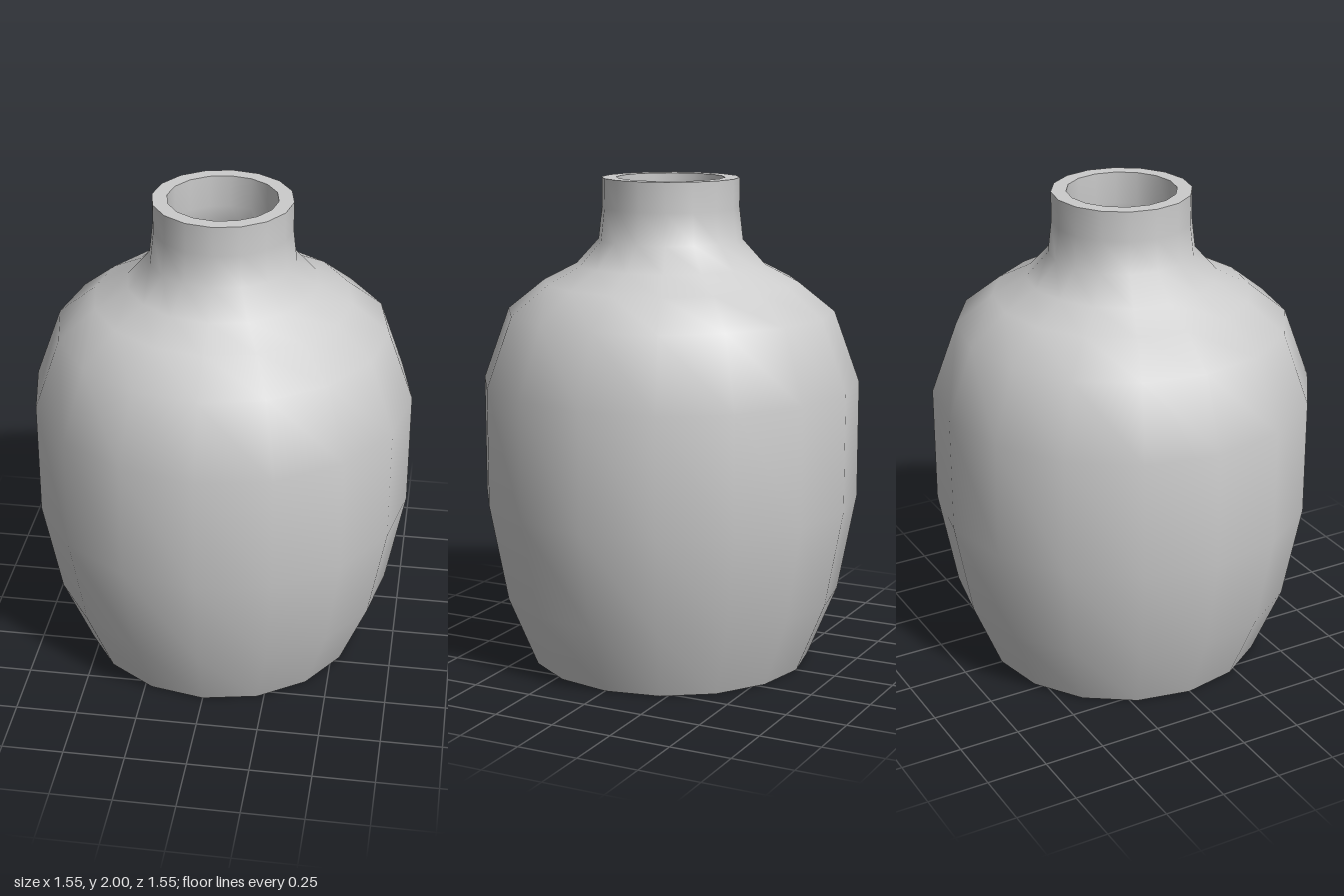
import * as THREE from 'three';

const SIDES = 16;

// Turns a [radius, height] profile around the y axis.
function turned(name, profile, material) {
  const points = profile.map(([r, y]) => new THREE.Vector2(r, y));
  const mesh = new THREE.Mesh(new THREE.LatheGeometry(points, SIDES), material);
  mesh.name = name;
  return mesh;
}

export function createModel() {
  const group = new THREE.Group();
  group.name = 'vase';
  const material = new THREE.MeshStandardMaterial({ color: 0xcccccc });

  // Outer wall, foot to lip
  const outer = [
    [0.58, 0], [0.70, 0.29], [0.775, 0.69], [0.775, 1.17], [0.67, 1.46],
    [0.52, 1.58], [0.385, 1.65], [0.295, 1.75], [0.28, 1.88], [0.28, 2],
  ];

  // Inner wall, lip down to the closed floor
  const inner = [
    [0.22, 2], [0.22, 1.87], [0.235, 1.73], [0.345, 1.6], [0.485, 1.53],
    [0.62, 1.42], [0.715, 1.16], [0.715, 0.7], [0.64, 0.31], [0.54, 0.06], [0, 0.06],
  ];

  // Separate turned parts keep the foot and lip edges sharp
  group.add(
    turned('base', [[0, 0], [0.58, 0]], material),
    turned('outerWall', outer, material),
    turned('rim', [[0.28, 2], [0.22, 2]], material),
    turned('innerWall', inner, material),
  );
  return group;
}
